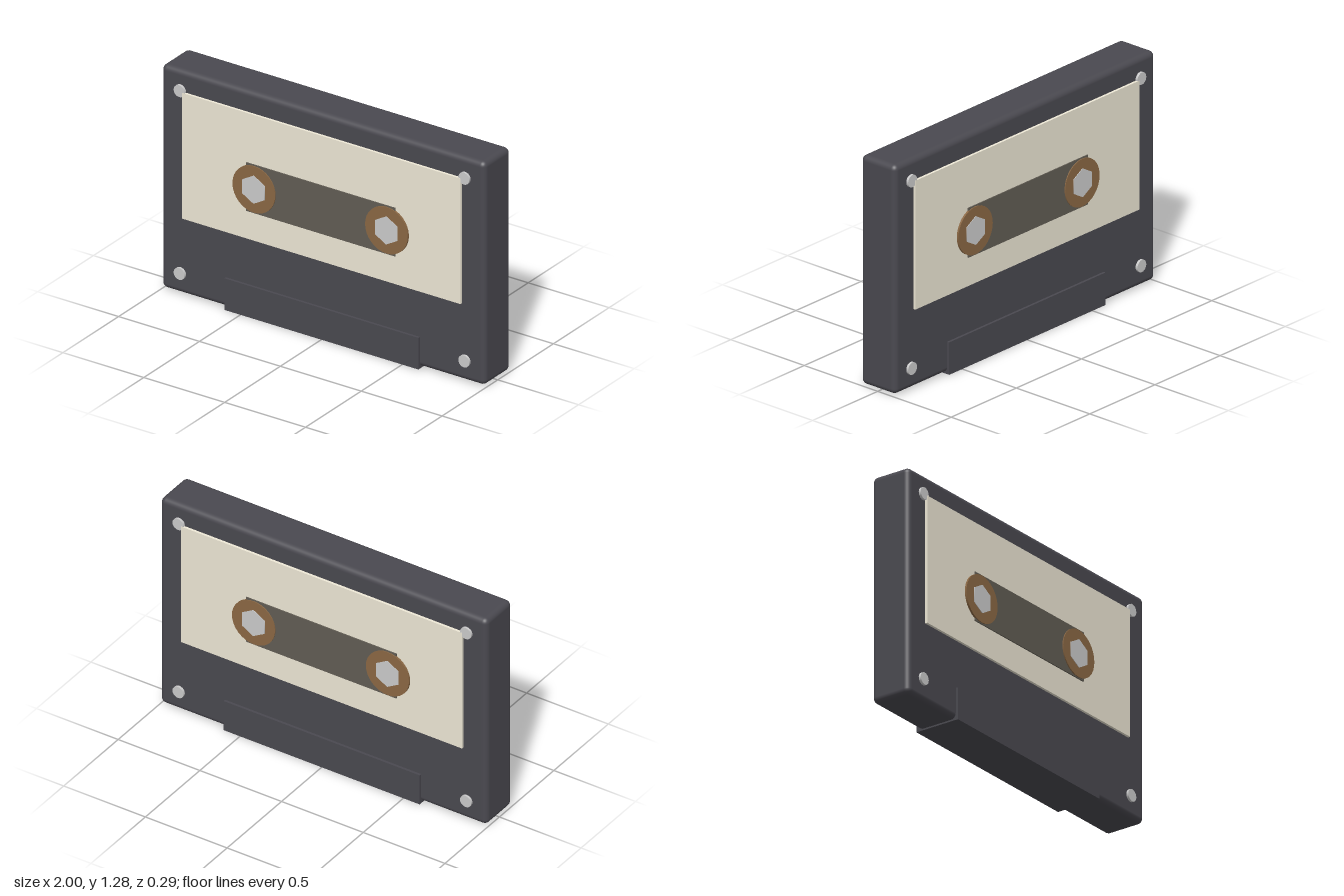
import * as THREE from 'three';
import { RoundedBoxGeometry } from 'three/addons/geometries/RoundedBoxGeometry.js';

const paint = (color) => new THREE.MeshStandardMaterial({ color });
const shell = paint(0x4a4950);
const paper = paint(0xeee8d6);
const smoke = paint(0x625d54);
const brown = paint(0x8b6844);
const metal = paint(0xcccccc);

function add(parent, name, geometry, material, x, y, z) {
  const mesh = new THREE.Mesh(geometry, material);
  mesh.name = name;
  mesh.position.set(x, y, z);
  parent.add(mesh);
  return mesh;
}

// Disc or prism whose axis points along z
function disc(radius, depth, sides) {
  return new THREE.CylinderGeometry(radius, radius, depth, sides).rotateX(Math.PI / 2);
}

// Everything mounted on one face of the shell, built facing +z
function createFace(name) {
  const face = new THREE.Group();
  face.name = name;

  add(face, 'label', new THREE.BoxGeometry(1.72, 0.715, 0.02), paper, 0, 0.803, 0.122);
  add(face, 'window', new THREE.BoxGeometry(0.92, 0.275, 0.02), smoke, 0, 0.743, 0.128);

  for (const side of [-1, 1]) {
    add(face, 'reel', disc(0.132, 0.024, 32), brown, side * 0.41, 0.743, 0.131);
    // Hexagonal hub with a corner at the top
    add(face, 'hub', disc(0.08, 0.024, 6), metal, side * 0.41, 0.743, 0.134);
    for (const y of [0.125, 1.165]) {
      add(face, 'screw', disc(0.034, 0.02, 20), metal, side * 0.88, y, 0.121);
    }
  }
  return face;
}

export function createModel() {
  const model = new THREE.Group();
  model.name = 'cassette';

  // Rounded shell
  add(model, 'shell', new RoundedBoxGeometry(2, 1.27, 0.236, 4, 0.03), shell, 0, 0.644, 0);
  // Thicker block along the tape opening
  add(model, 'headBlock', new THREE.BoxGeometry(1.2, 0.18, 0.264), shell, 0, 0.09, 0);

  // Front and back carry the same fittings
  const back = createFace('backFace');
  back.rotation.y = Math.PI;
  model.add(createFace('frontFace'), back);
  return model;
}
